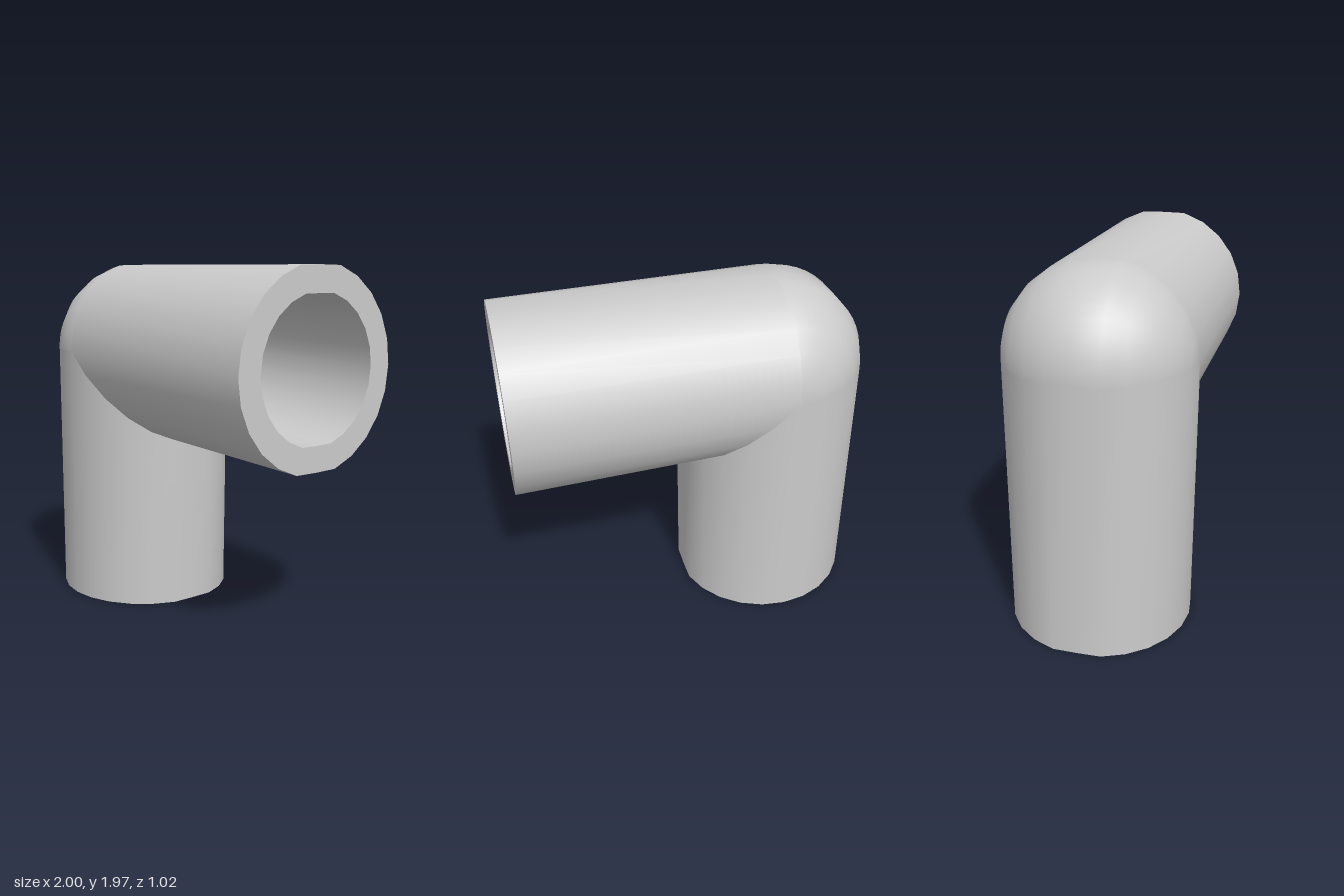
import * as THREE from 'three';

const SIDES = 24, BEND_STEPS = 12;
const CENTRE = new THREE.Vector3(-0.49, 1.47, 0);
const material = new THREE.MeshStandardMaterial({ color: 0xcccccc });

// Slightly flattened ring: u lies in the plane of the bend, z across it.
function profile(ru, rz) {
  return Array.from({ length: SIDES }, (_, i) => {
    const t = (i / SIDES) * Math.PI * 2;
    return { u: ru * THREE.MathUtils.clamp(1.03 * Math.cos(t), -1, 1), z: rz * Math.sin(t) };
  });
}

// Skins a list of rings, each a list of points.
function loft(rings, closed = true) {
  const n = rings[0].length, index = [];
  for (let k = 0; k < rings.length - 1; k++) {
    for (let i = 0; i < (closed ? n : n - 1); i++) {
      const a = k * n + i, b = k * n + (i + 1) % n;
      index.push(a, a + n, b, b, a + n, b + n);
    }
  }
  const geometry = new THREE.BufferGeometry().setFromPoints(rings.flat());
  geometry.setIndex(index);
  geometry.computeVertexNormals();
  return geometry;
}

// One wall of the elbow: two mitred legs and a rounded outer corner.
function wall(bottomR, jointR, endR) {
  const joint = profile(jointR[0], jointR[1]);
  const bottom = profile(bottomR[0], bottomR[1]).map(p => new THREE.Vector3(-0.5 + p.u, 0, p.z));
  const end = profile(endR[0], endR[1]).map(p => new THREE.Vector3(1, 1.45 - p.u, p.z));
  // Inner-side points meet on the mitre, outer-side points sweep round the centre.
  const bendRing = a => joint.map(({ u, z }) => (u > 0
    ? new THREE.Vector3(u, -u, z)
    : new THREE.Vector3(u * Math.cos(a), -u * Math.sin(a), z)).add(CENTRE));
  const bend = [];
  for (let k = 0; k <= BEND_STEPS; k++) {
    bend.push(bendRing((k / BEND_STEPS) * Math.PI / 2).slice(SIDES / 4, SIDES * 3 / 4 + 1));
  }
  return { bottom, end, bend, lower: [bottom, bendRing(0)], upper: [bendRing(Math.PI / 2), end] };
}

export function createModel() {
  const group = new THREE.Group();
  group.name = 'pipeElbow';
  const add = (name, geometry) => {
    const mesh = new THREE.Mesh(geometry, material);
    mesh.name = name;
    group.add(mesh);
  };

  const outer = wall([0.5, 0.5], [0.495, 0.51], [0.505, 0.51]);
  const inner = wall([0.365, 0.37], [0.365, 0.37], [0.37, 0.375]);

  // Outer skin, then the bore with its faces turned inwards
  for (const [label, w, sign] of [['outer', outer, 1], ['inner', inner, -1]]) {
    const order = rings => (sign > 0 ? rings : [...rings].reverse());
    add(label + 'LowerLeg', loft(order(w.lower)));
    add(label + 'UpperLeg', loft(order(w.upper)));

    // Rounded corner with radial normals
    const bend = loft(order(w.bend), false);
    const pos = bend.attributes.position, v = new THREE.Vector3();
    for (let i = 0; i < pos.count; i++) {
      v.fromBufferAttribute(pos, i).sub(CENTRE).normalize().multiplyScalar(sign);
      bend.attributes.normal.setXYZ(i, v.x, v.y, v.z);
    }
    add(label + 'Bend', bend);
  }

  // Flat rims at both openings
  add('bottomRim', loft([inner.bottom, outer.bottom]));
  add('endRim', loft([outer.end, inner.end]));
  return group;
}
